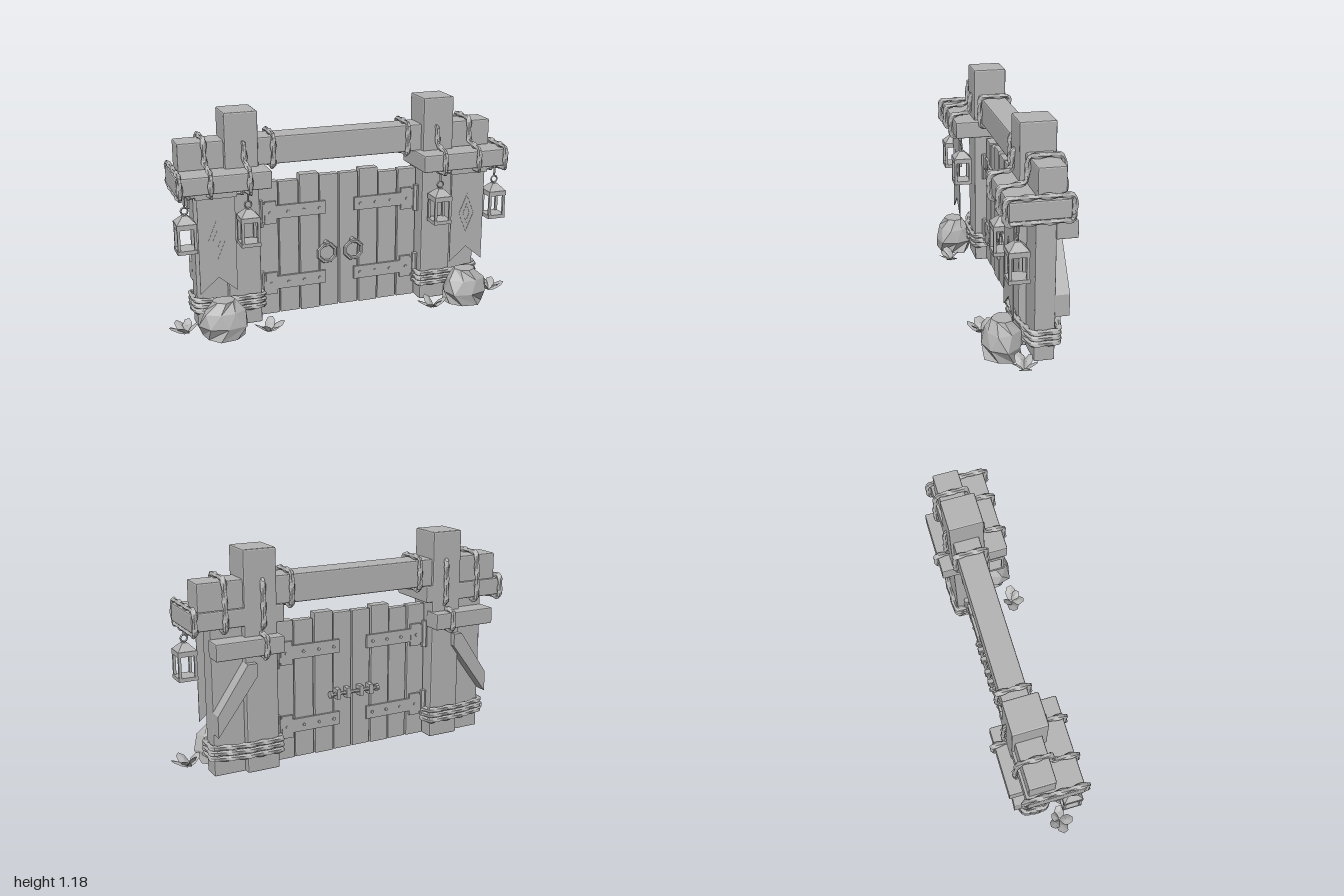
import * as THREE from 'three';
import { RoundedBoxGeometry } from 'three/addons/geometries/RoundedBoxGeometry.js';

const stone = new THREE.MeshStandardMaterial({ color: 0xb4b4b4, side: THREE.DoubleSide });
stone.name = 'plain grey';

// Adds a flat-shaded mesh
function add(parent, name, geo, x = 0, y = 0, z = 0) {
  const g = geo.index ? geo.toNonIndexed() : geo;
  g.computeVertexNormals();
  const m = new THREE.Mesh(g, stone);
  m.name = name;
  m.position.set(x, y, z);
  parent.add(m);
  return m;
}

// Box given by its limits; s mirrors it in x; c is the chamfer
function slab(parent, name, s, x0, x1, y0, y1, z0, z1, c = 0) {
  const w = x1 - x0, h = y1 - y0, d = z1 - z0;
  const geo = c ? new RoundedBoxGeometry(w, h, d, 1, c) : new THREE.BoxGeometry(w, h, d);
  return add(parent, name, geo, s * (x0 + x1) / 2, (y0 + y1) / 2, (z0 + z1) / 2);
}

// Closed rope through the corner points, with a two-strand twist
function rope(parent, name, pts, r = 0.015) {
  const path = new THREE.CurvePath();
  pts.forEach((p, i) => {
    const q = pts[(i + 1) % pts.length], before = pts[(i + pts.length - 1) % pts.length];
    const cut = (a, b) => a.clone().lerp(b, Math.min(0.3, 0.025 / a.distanceTo(b)));
    path.add(new THREE.QuadraticBezierCurve3(cut(p, before), p, cut(p, q)));
    path.add(new THREE.LineCurve3(cut(p, q), cut(q, p)));
  });
  const n = Math.round(path.getLength() / 0.014), sides = 6;
  const geo = new THREE.TubeGeometry(path, n, r, sides, true);
  const pos = geo.attributes.position, v = new THREE.Vector3(), c = new THREE.Vector3();
  for (let i = 0; i <= n; i++) {
    path.getPointAt((i % n) / n, c);
    for (let j = 0; j <= sides; j++) {
      const k = i * (sides + 1) + j;
      const swell = 0.9 + 0.25 * Math.cos(2 * (j / sides) * Math.PI * 2 - (i % n) * 0.9);
      v.fromBufferAttribute(pos, k).sub(c).multiplyScalar(swell).add(c);
      pos.setXYZ(k, v.x, v.y, v.z);
    }
  }
  return add(parent, name, geo);
}

// Rope in the plane x, corners as [z, y]
const ropeAcross = (parent, name, x, zy) =>
  rope(parent, name, zy.map(([z, y]) => new THREE.Vector3(x, y, z)));
const rect = (z0, z1, y0, y1) => [[z0, y0], [z1, y0], [z1, y1], [z0, y1]];

function polygon(points) {
  return new THREE.Shape(points.map(([x, y]) => new THREE.Vector2(x, y)));
}
const extrude = (shape, depth) => new THREE.ExtrudeGeometry(shape, { depth, bevelEnabled: false });

function lantern(parent, x, z) {
  const g = new THREE.Group();
  g.name = 'lantern';
  g.position.set(x, 0, z);
  parent.add(g);
  slab(g, 'lanternBase', 1, -0.052, 0.052, 0.483, 0.503, -0.052, 0.052);
  slab(g, 'lanternTop', 1, -0.052, 0.052, 0.615, 0.642, -0.052, 0.052);
  for (const a of [-1, 1]) for (const b of [-1, 1])
    add(g, 'lanternCorner', new THREE.BoxGeometry(0.014, 0.12, 0.014), a * 0.043, 0.56, b * 0.043);
  const roof = new THREE.CylinderGeometry(0.02, 0.071, 0.038, 4).rotateY(Math.PI / 4);
  add(g, 'lanternRoof', roof, 0, 0.661, 0);
  add(g, 'lanternRing', new THREE.TorusGeometry(0.019, 0.005, 4, 8), 0, 0.703, 0);
  add(g, 'lanternHook', new THREE.CylinderGeometry(0.006, 0.006, 0.08, 5), 0, 0.757, 0);
  add(g, 'hookPlate', new THREE.CylinderGeometry(0.022, 0.008, 0.025, 6), 0, 0.78, 0);
}

function banner(parent, s) {
  const g = new THREE.Group();
  g.name = 'banner';
  g.position.set(s * 0.72, 0, 0.073);
  parent.add(g);
  const cloth = polygon([[-0.1, 0.77], [-0.1, 0.235], [0, 0.32], [0.1, 0.235], [0.1, 0.77]]);
  add(g, 'bannerCloth', extrude(cloth, 0.005));
  slab(g, 'bannerSleeve', 1, -0.11, 0.11, 0.755, 0.785, -0.012, 0.016);
  add(g, 'bannerRod', new THREE.CylinderGeometry(0.009, 0.009, 0.28, 6).rotateZ(Math.PI / 2), 0, 0.77, 0.002);
  for (const e of [-1, 1]) add(g, 'rodKnob', new THREE.IcosahedronGeometry(0.015, 0), e * 0.14, 0.77, 0.002);
  // Nested diamond ornament
  for (const k of [1, 0.5]) {
    const diamond = (f) => [[0, 0.12 * f], [-0.05 * f, 0], [0, -0.12 * f], [0.05 * f, 0]];
    const shape = polygon(diamond(k));
    shape.holes.push(polygon(diamond(k - 0.2)));
    add(g, 'bannerDiamond', extrude(shape, 0.002), 0, 0.52, 0.005);
  }
}

function boulder(parent, s) {
  const profile = [[0, 0], [0.115, 0], [0.132, 0.07], [0.108, 0.145], [0.062, 0.2], [0, 0.2]]
    .map(([r, y]) => new THREE.Vector2(r, y));
  const geo = new THREE.LatheGeometry(profile, 8);
  const p = geo.attributes.position;
  for (let i = 0; i < p.count; i++) {
    const row = i % 6, a = Math.floor(i / 6) % 8;
    const k = 1 + 0.09 * Math.sin(a * 2.4 + row * 1.9);
    const t = (a + (row % 2) * 0.45) / 8 * Math.PI * 2, r = profile[row].x * k;
    p.setXYZ(i, s * Math.sin(t) * r, p.getY(i), Math.cos(t) * r * 0.85);
  }
  // Mirroring turns the faces inside out, so swap corners back
  if (s < 0) for (let i = 0; i < geo.index.count; i += 3) {
    const t = geo.index.getX(i);
    geo.index.setX(i, geo.index.getX(i + 1));
    geo.index.setX(i + 1, t);
  }
  add(parent, 'boulder', geo, s * 0.705, 0, 0.105);
}

// Cupped leaves fanning from one root; each is [yaw, lean, size]
function plant(parent, s, x, z, leaves) {
  for (const [yaw, lean, size] of leaves) {
    const geo = new THREE.CircleGeometry(1, 7);
    geo.attributes.position.setZ(0, -0.3);
    geo.scale(0.034 * size, 0.052 * size, 0.034).translate(0, 0.054 * size, 0);
    geo.rotateX(lean).rotateY(s * yaw);
    add(parent, 'leaf', geo, s * x, 0.008, z);
  }
}

function pillar(root, s) {
  const g = new THREE.Group();
  g.name = s > 0 ? 'leftPillar' : 'rightPillar';
  root.add(g);
  // Posts and short beams
  slab(g, 'mainPost', s, 0.47, 0.65, 0, 1.18, -0.175, 0.01, 0.008);
  slab(g, 'outerPost', s, 0.64, 0.82, 0, 0.8, -0.135, -0.03, 0.006);
  slab(g, 'shoulderBeam', s, 0.43, 0.93, 0.79, 0.885, -0.175, 0.125, 0.007);
  slab(g, 'backBeam', s, 0.46, 0.83, 0.645, 0.735, -0.24, -0.13, 0.006);
  const brace = polygon([[s * 0.82, 0.235], [s * 0.82, 0.35], [s * 0.65, 0.6], [s * 0.6, 0.6], [s * 0.6, 0.53]]);
  add(g, 'backBrace', extrude(brace, 0.075), 0, 0, -0.207);

  // Lashings
  ropeAcross(g, 'shoulderRope', s * 0.915, rect(-0.19, 0.14, 0.775, 0.9));
  ropeAcross(g, 'beamLashing', s * 0.755,
    [[-0.19, 0.775], [0.137, 0.775], [0.137, 0.9], [0, 0.915], [-0.005, 1.045], [-0.175, 1.045], [-0.19, 0.9]]);
  ropeAcross(g, 'postLashing', s * 0.55,
    [[-0.19, 0.775], [0.137, 0.775], [0.137, 0.9], [0.025, 0.915], [0.02, 1.02], [-0.185, 1.02]]);
  ropeAcross(g, 'longBeamRope', s * 0.385, rect(-0.175, -0.005, 0.867, 1.045));
  ropeAcross(g, 'backBeamRope', s * 0.56, rect(-0.25, -0.15, 0.632, 0.745));
  for (const y of [0.103, 0.133, 0.163])
    rope(g, 'postWrap', [[0.455, 0.022], [0.67, 0.022], [0.835, -0.015], [0.835, -0.15], [0.67, -0.188], [0.455, -0.188]]
      .map(([x, z]) => new THREE.Vector3(s * x, y, z)), 0.016);

  banner(g, s);
  for (const x of [0.885, 0.55]) lantern(g, s * x, 0.075);
  boulder(g, s);
  plant(g, s, 0.9, 0.04, [[1.5, 1.1, 1], [0.5, 0.9, 0.95], [2.5, 0.9, 0.9], [-1.3, 0.8, 0.9], [3.6, 0.6, 0.8]]);
  plant(g, s, 0.48, 0.165, [[-1.6, 1.05, 1], [-0.5, 1, 0.9], [1.4, 0.95, 0.95], [0.5, 0.8, 0.8], [-2.6, 0.7, 0.85]]);
}

function door(root, s) {
  const g = new THREE.Group();
  g.name = s > 0 ? 'leftDoor' : 'rightDoor';
  root.add(g);
  // Planks as [inner x, outer x, top, half thickness]
  const planks = [[0.004, 0.112, 0.785, 0.022], [0.118, 0.228, 0.8, 0.028], [0.234, 0.345, 0.77, 0.022], [0.351, 0.46, 0.775, 0.026]];
  for (const [x0, x1, top, h] of planks) slab(g, 'plank', s, x0, x1, 0.01, top, -0.083 - h, -0.083 + h, 0.005);
  slab(g, 'doorBacking', s, 0.01, 0.45, 0.02, 0.75, -0.091, -0.075);
  for (const y of [0.195, 0.603]) {
    for (const f of [-1, 1]) {
      // Iron straps on both faces
      const z = -0.083 + f * 0.032;
      slab(g, 'hingeStrap', s, 0.085, 0.43, y - 0.037, y + 0.037, z - 0.007, z + 0.007);
      slab(g, 'hingePlate', s, 0.365, 0.43, y - 0.063, y + 0.063, z - 0.008, z + 0.008);
      for (const x of [0.12, 0.21, 0.3, 0.4])
        add(g, 'rivet', new THREE.CylinderGeometry(0.009, 0.009, 0.008, 6).rotateX(Math.PI / 2), s * x, y, z + f * 0.01);
      add(g, 'hingeBarrel', new THREE.CylinderGeometry(0.016, 0.016, 0.15, 6), s * 0.455, y, z + f * 0.006);
      slab(g, 'hingeLink', s, 0.42, 0.46, y - 0.05, y + 0.05, z - 0.005, z + 0.005);
    }
  }
  // Ring handle
  const ring = new THREE.TorusGeometry(0.052, 0.011, 6, 8).rotateZ(Math.PI / 8);
  add(g, 'ringHandle', ring, s * 0.078, 0.338, -0.038);
  add(g, 'handleBoss', new THREE.CylinderGeometry(0.016, 0.016, 0.03, 6).rotateX(Math.PI / 2), s * 0.078, 0.392, -0.048);
  // Bolt keepers on the back
  for (const x of [0.04, 0.1]) slab(g, 'boltKeeper', s, x - 0.012, x + 0.012, 0.31, 0.366, -0.148, -0.1);
  add(g, 'boltKnob', new THREE.CylinderGeometry(0.02, 0.02, 0.016, 8).rotateZ(Math.PI / 2), s * 0.142, 0.338, -0.132);
}

export function createModel() {
  const root = new THREE.Group();
  root.name = 'woodenGate';
  slab(root, 'longBeam', 1, -0.89, 0.89, 0.88, 1.03, -0.16, -0.02, 0.007);
  for (const s of [-1, 1]) {
    pillar(root, s);
    door(root, s);
  }
  add(root, 'doorBolt', new THREE.CylinderGeometry(0.011, 0.011, 0.28, 8).rotateZ(Math.PI / 2), 0, 0.338, -0.132);
  return root;
}
